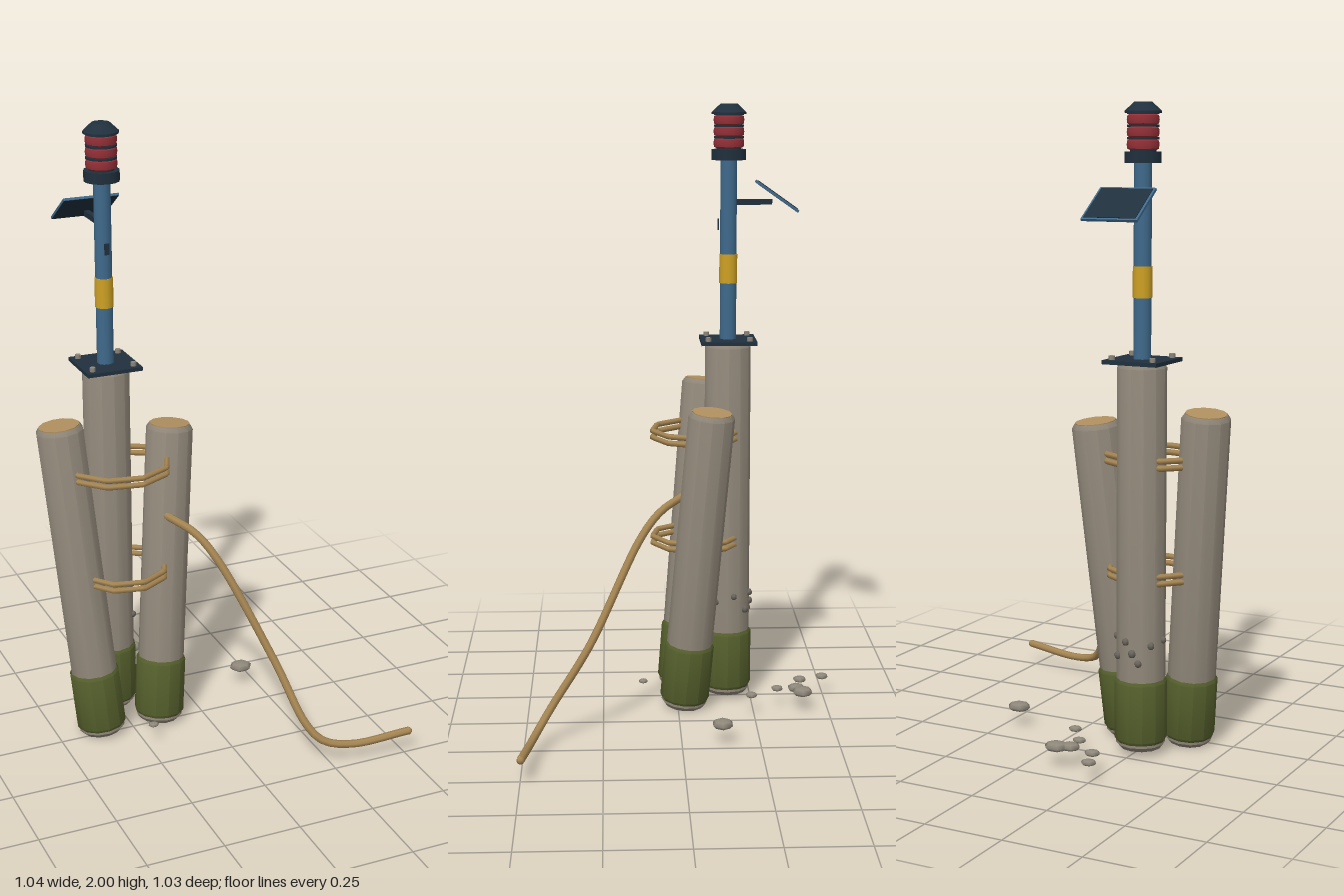
import * as THREE from 'three';
import { toCreasedNormals } from 'three/addons/utils/BufferGeometryUtils.js';

const material = (name, color) => {
  const m = new THREE.MeshStandardMaterial({ color });
  m.name = name;
  return m;
};

export function createModel() {
  const model = new THREE.Group();
  model.name = 'harbourMarker';

  const timber = material('weatheredTimber', 0x8f8678);
  const endGrain = material('endGrain', 0xb0905f);
  const algae = material('algaeGreen', 0x555f2c);
  const rope = material('ropeTan', 0xa58552);
  const navy = material('darkNavy', 0x20303d);
  const blue = material('poleBlue', 0x3f6a8c);
  const yellow = material('bandYellow', 0xcfa224);
  const red = material('lanternRed', 0x943037);
  const stone = material('stoneGrey', 0x8f887b);
  const barnacle = material('barnacleGrey', 0x69645b);

  const add = (parent, name, geometry, mat, x = 0, y = 0, z = 0) => {
    const mesh = new THREE.Mesh(geometry, mat);
    mesh.name = name;
    mesh.position.set(x, y, z);
    parent.add(mesh);
    return mesh;
  };
  // Turned shape from [radius, height] pairs, with crisp edges
  const turned = (profile, sides) => toCreasedNormals(
    new THREE.LatheGeometry(profile.map(p => new THREE.Vector2(...p)), sides), 0.65);

  // Timber piles: chamfered trunk, algae sleeve and pale end grain
  const R = 0.076;
  function pile(name, base, top) {
    const group = new THREE.Group();
    group.name = name;
    const from = new THREE.Vector3(...base);
    const axis = new THREE.Vector3(...top).sub(from);
    const h = axis.length();
    group.position.copy(from);
    group.quaternion.setFromUnitVectors(new THREE.Vector3(0, 1, 0), axis.normalize());
    add(group, 'trunk', turned([[0, 0], [0.064, 0], [R, 0.014], [R, h - 0.014], [0.067, h], [0, h]], 12), timber);
    add(group, 'algaeSleeve', turned([[R, 0.022], [0.082, 0.032], [0.082, 0.212], [R, 0.222]], 12), algae);
    add(group, 'endGrain', new THREE.CylinderGeometry(0.065, 0.065, 0.006, 12), endGrain, 0, h, 0);
    model.add(group);
  }
  pile('rightPile', [-0.352, 0.01, -0.018], [-0.443, 1.071, -0.103]);
  pile('leftPile', [-0.15, 0.01, -0.02], [-0.067, 1.021, -0.108]);
  const cx = -0.259, cz = -0.17;
  pile('backPile', [cx, 0.02, cz], [cx, 1.224, cz]);

  // Rope lashings: angular double loops around the three piles
  const polyline = (points, closed) => {
    const path = new THREE.CurvePath();
    const last = closed ? points.length : points.length - 1;
    for (let i = 0; i < last; i++) {
      path.add(new THREE.LineCurve3(points[i], points[(i + 1) % points.length]));
    }
    return path;
  };
  for (const [y, x, rx] of [[0.92, -0.26, 0.165], [0.56, -0.255, 0.145]]) {
    for (const dy of [-0.011, 0.011]) {
      const points = [];
      for (let i = 0; i < 9; i++) {
        const a = (1 + i * 40) * Math.PI / 180;
        points.push(new THREE.Vector3(x + rx * Math.cos(a), y + dy, -0.065 + 0.148 * Math.sin(a)));
      }
      add(model, 'lashing', new THREE.TubeGeometry(polyline(points, true), 72, 0.0095, 6, true), rope);
    }
  }

  // Loose rope trailing to the ground
  const trail = [
    [-0.115, 0.74, -0.02], [-0.05, 0.7, 0.06], [0, 0.625, 0.125], [0.13, 0.31, 0.29], [0.187, 0.13, 0.41],
    [0.23, 0.08, 0.446], [0.32, 0.06, 0.472], [0.514, 0.077, 0.497],
  ].map(p => new THREE.Vector3(...p));
  add(model, 'looseRope', new THREE.TubeGeometry(new THREE.CatmullRomCurve3(trail), 40, 0.013, 7), rope);
  [0, trail.length - 1].forEach(i => {
    const p = trail[i];
    add(model, 'ropeEnd', new THREE.SphereGeometry(0.0128, 7, 5), rope, p.x, p.y, p.z);
  });

  // Mounting plate with four corner bolts
  add(model, 'mountingPlate', new THREE.BoxGeometry(0.183, 0.012, 0.183), navy, cx, 1.23, cz);
  for (const sx of [-1, 1]) for (const sz of [-1, 1]) {
    add(model, 'bolt', new THREE.CylinderGeometry(0.0095, 0.0095, 0.026, 6), stone, cx + sx * 0.068, 1.236, cz + sz * 0.068);
  }

  // Pole with yellow band and small tag
  add(model, 'pole', new THREE.CylinderGeometry(0.027, 0.027, 0.6, 12), blue, cx, 1.53, cz);
  add(model, 'poleBand', new THREE.CylinderGeometry(0.0295, 0.0295, 0.095, 12), yellow, cx, 1.468, cz);
  add(model, 'tag', new THREE.BoxGeometry(0.016, 0.036, 0.004), navy, cx, 1.613, cz + 0.034);

  // Lantern: base, red lens rings separated by dark discs, tapered cap
  add(model, 'lanternBase', new THREE.CylinderGeometry(0.056, 0.056, 0.034, 14), navy, cx, 1.838, cz);
  add(model, 'lanternCore', new THREE.CylinderGeometry(0.04, 0.04, 0.12, 14), navy, cx, 1.91, cz);
  for (let i = 0; i < 3; i++) {
    const y = 1.875 + i * 0.037;
    add(model, 'lens', turned([[0.04, -0.016], [0.048, -0.012], [0.05, 0], [0.048, 0.012], [0.04, 0.016]], 14), red, cx, y, cz);
    add(model, 'lensDivider', new THREE.CylinderGeometry(0.049, 0.049, 0.007, 14), navy, cx, y + 0.0185, cz);
  }
  add(model, 'lanternCap', turned([[0, 0], [0.056, 0], [0.056, 0.006], [0.028, 0.032], [0, 0.032]], 14), navy, cx, 1.968, cz);

  // Solar panel tilted toward the back on a short arm
  add(model, 'panelArm', new THREE.BoxGeometry(0.018, 0.018, 0.13), navy, cx, 1.685, -0.247);
  const panel = new THREE.Group();
  panel.name = 'solarPanel';
  panel.position.set(cx, 1.704, -0.328);
  panel.rotation.x = -Math.atan2(0.088, 0.125);
  add(panel, 'panelFrame', new THREE.BoxGeometry(0.183, 0.008, 0.154), blue);
  add(panel, 'panelCells', new THREE.BoxGeometry(0.169, 0.004, 0.14), navy, 0, 0.004, 0);
  add(panel, 'panelBack', new THREE.BoxGeometry(0.181, 0.003, 0.152), navy, 0, -0.0035, 0);
  model.add(panel);

  // Barnacles on the back pile: [angle in degrees from +x toward the back, height, size]
  for (const [deg, y, r] of [
    [15, 0.37, 0.011], [50, 0.32, 0.013], [78, 0.37, 0.012], [95, 0.335, 0.013],
    [110, 0.305, 0.012], [140, 0.36, 0.012], [180, 0.37, 0.011], [-32, 0.35, 0.011],
  ]) {
    const a = deg * Math.PI / 180;
    add(model, 'barnacle', new THREE.SphereGeometry(r, 6, 5), barnacle, cx + R * Math.cos(a), y, cz - R * Math.sin(a));
  }

  // Flat stones scattered around the foot: [x, z, radius]
  const pebble = new THREE.SphereGeometry(1, 6, 4);
  for (const [x, z, r] of [
    [-0.25, -0.497, 0.025], [-0.22, -0.418, 0.026], [-0.133, -0.398, 0.034], [-0.095, -0.415, 0.04],
    [-0.13, -0.333, 0.023], [-0.067, -0.242, 0.023], [0.202, -0.13, 0.04], [-0.222, 0.115, 0.018],
  ]) {
    add(model, 'stone', pebble, stone, x, 0.066, z).scale.set(r, r * 0.38, r * 0.9);
  }

  return model;
}
